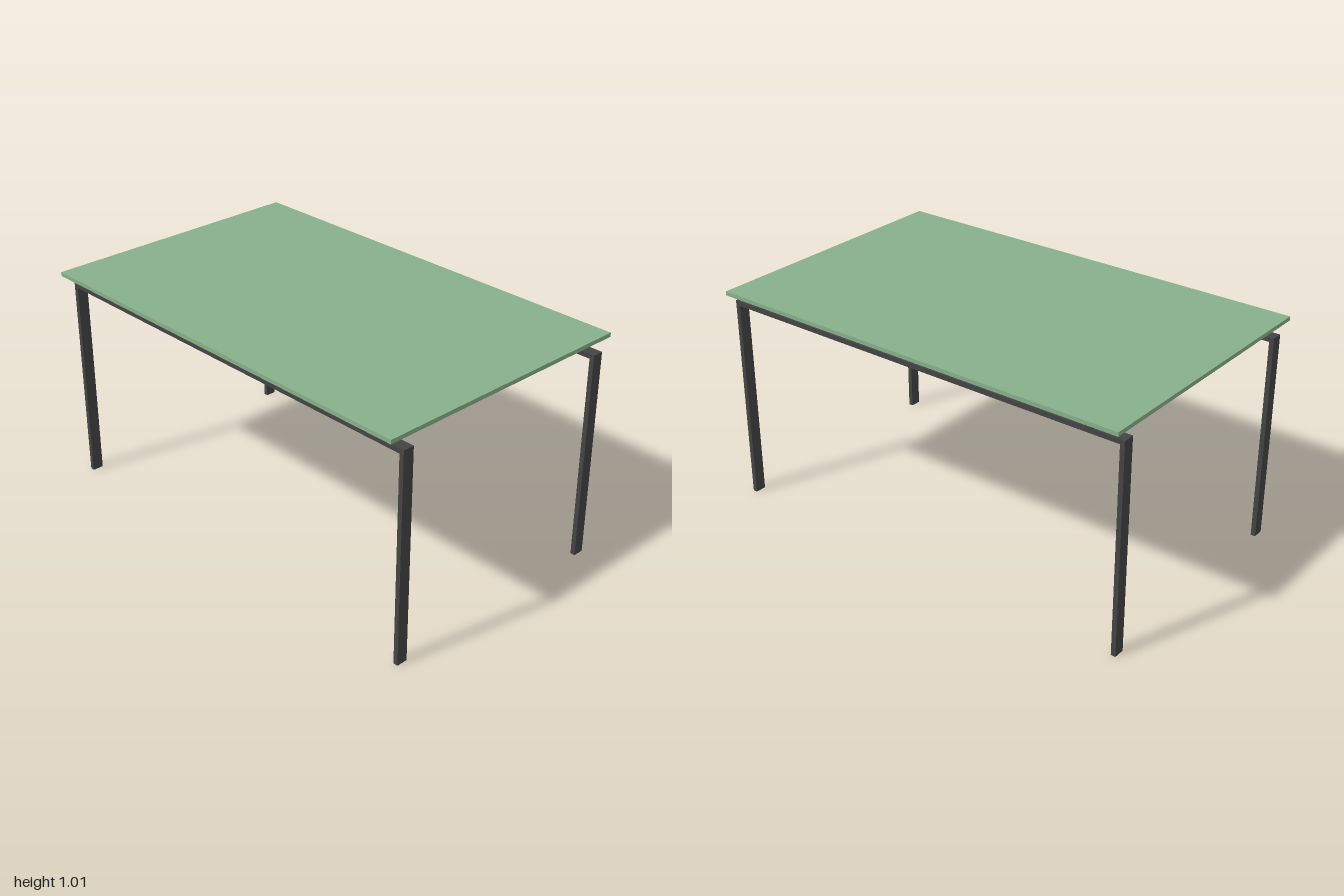
import * as THREE from 'three';

export function createModel() {
  const group = new THREE.Group();
  const glass = new THREE.MeshStandardMaterial({ color: 0x88b08a });
  const metal = new THREE.MeshStandardMaterial({ color: 0x444444 });

  function add(name, geometry, material, x, y, z) {
    const mesh = new THREE.Mesh(geometry, material);
    mesh.name = name;
    mesh.position.set(x, y, z);
    group.add(mesh);
  }

  // Table top
  add('tableTop', new THREE.BoxGeometry(1.24, 0.018, 1.992), glass, 0, 0.998, -0.004);

  // Side frames: flat bar bent into two legs and a rail, drawn in z-y and extruded across x
  const front = 1, back = -0.992, height = 0.945, bar = 0.021, width = 0.05;
  const profile = new THREE.Shape([
    [back, 0], [back + bar, 0], [back + bar, height - bar], [front - bar, height - bar],
    [front - bar, 0], [front, 0], [front, height], [back, height],
  ].map(([z, y]) => new THREE.Vector2(z, y)));
  const frame = new THREE.ExtrudeGeometry(profile, { depth: width, bevelEnabled: false });
  frame.translate(0, 0, -width / 2).rotateY(-Math.PI / 2);
  add('leftFrame', frame, metal, 0.537, 0, 0);
  add('rightFrame', frame, metal, -0.537, 0, 0);

  // Cross bars carrying the top
  const crossBar = new THREE.BoxGeometry(1.124, 0.044, 0.034);
  add('frontCrossBar', crossBar, metal, 0, 0.967, 0.844);
  add('backCrossBar', crossBar, metal, 0, 0.967, -0.836);

  return group;
}
